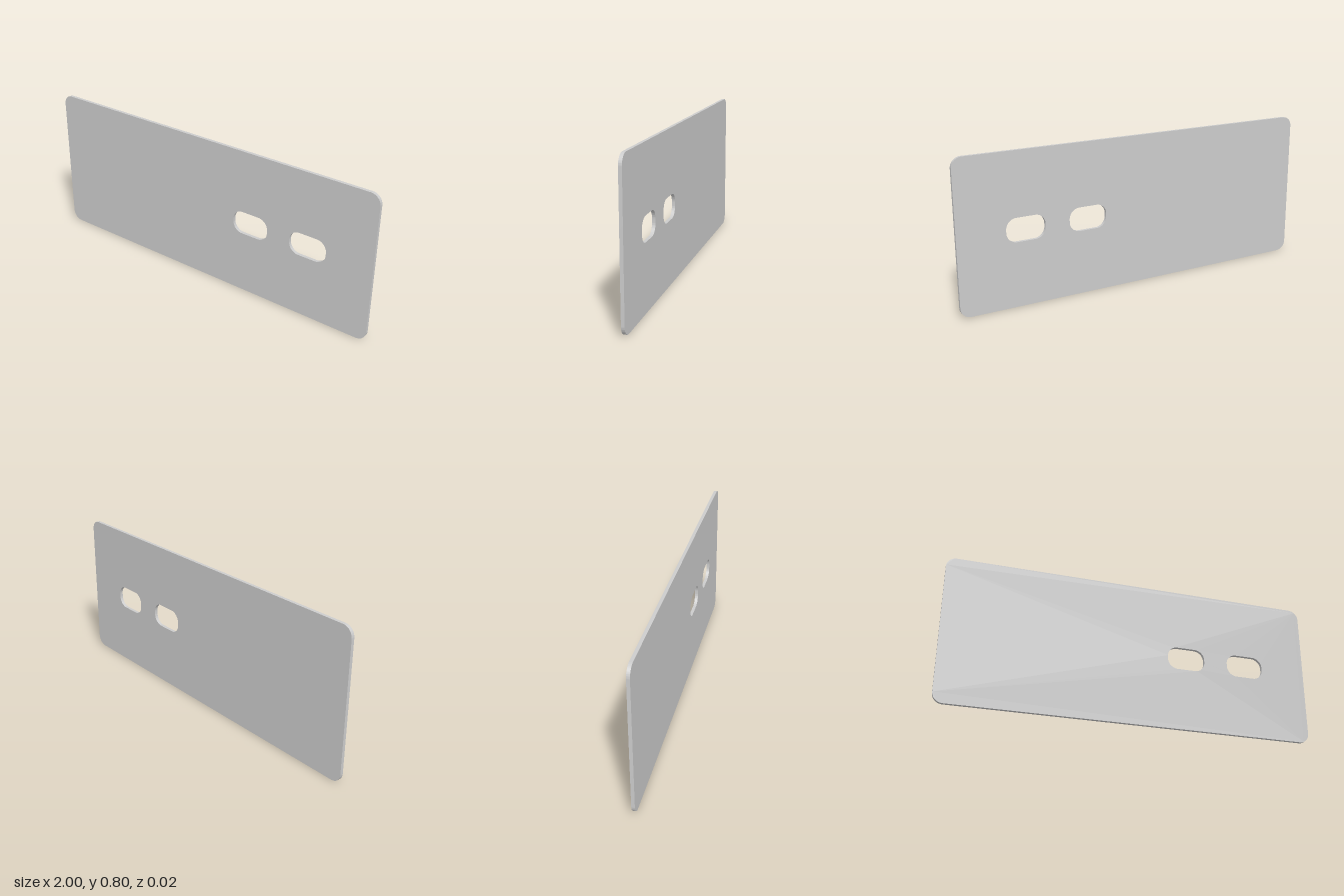
import * as THREE from 'three';
import { toCreasedNormals } from 'three/addons/utils/BufferGeometryUtils.js';

// Traces a rounded rectangle centred on (cx, cy) onto a Shape or Path
function roundedRect(path, cx, cy, width, height, r) {
  const x = width / 2 - r, y = height / 2 - r;
  path.moveTo(cx + x + r, cy - y);
  path.absarc(cx + x, cy + y, r, 0, Math.PI / 2);
  path.absarc(cx - x, cy + y, r, Math.PI / 2, Math.PI);
  path.absarc(cx - x, cy - y, r, Math.PI, Math.PI * 1.5);
  path.absarc(cx + x, cy - y, r, Math.PI * 1.5, Math.PI * 2);
  return path;
}

export function createModel() {
  const width = 2, height = 0.8, thickness = 0.017;
  const group = new THREE.Group();
  group.name = 'coverPlate';

  // Plate outline with two rounded slots on the model's left
  const outline = roundedRect(new THREE.Shape(), 0, height / 2, width, height, 0.054);
  for (const x of [0.304, 0.644]) {
    outline.holes.push(roundedRect(new THREE.Path(), x, 0.402, 0.208, 0.125, 0.055));
  }

  const geometry = new THREE.ExtrudeGeometry(outline, {
    depth: thickness, bevelEnabled: false, curveSegments: 12,
  });
  geometry.translate(0, 0, -thickness / 2);

  const plate = new THREE.Mesh(
    toCreasedNormals(geometry, Math.PI / 6),
    new THREE.MeshStandardMaterial({ color: 0xcccccc }),
  );
  plate.name = 'slottedPlate';
  group.add(plate);
  return group;
}
